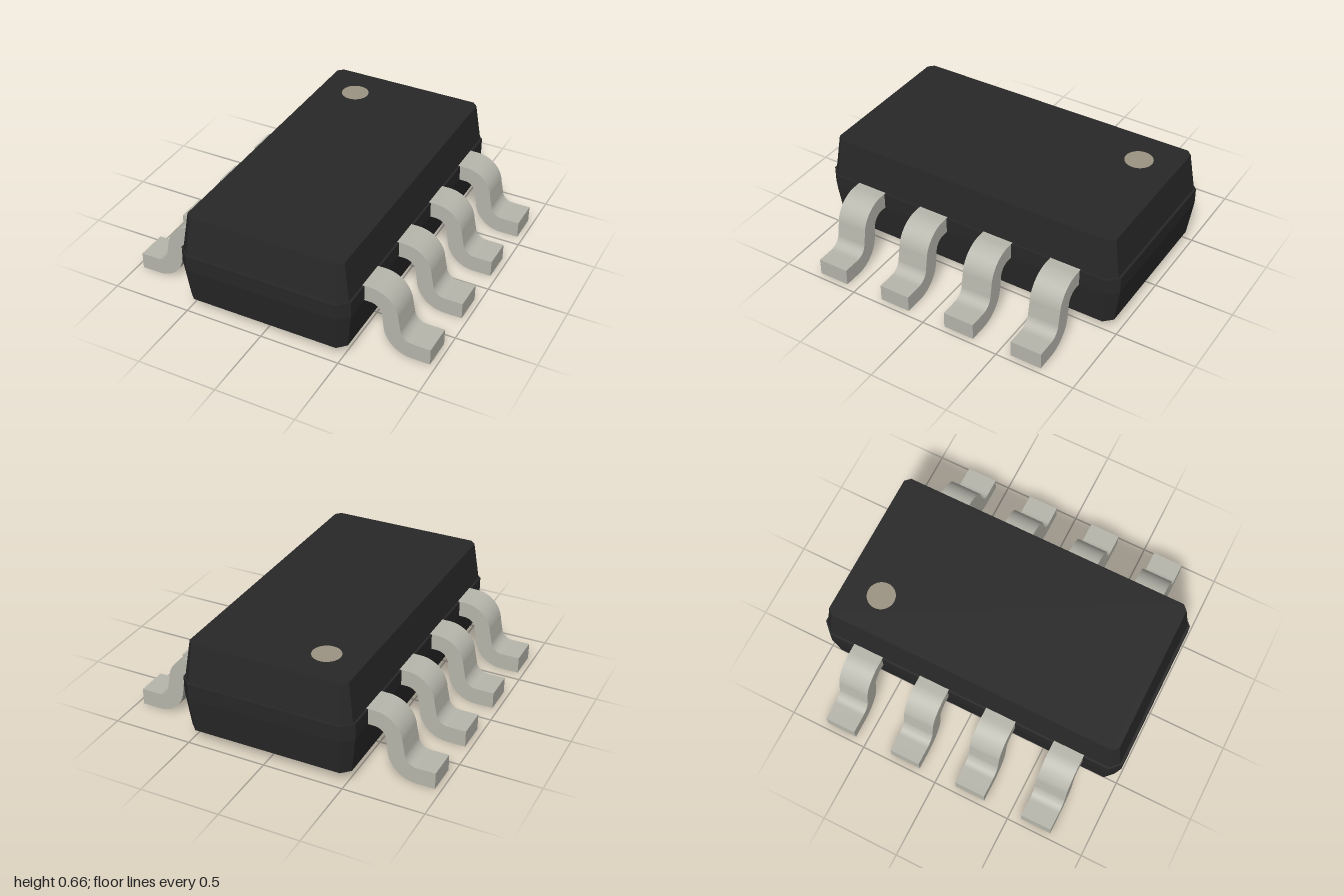
import * as THREE from 'three';
import { toCreasedNormals } from 'three/addons/utils/BufferGeometryUtils.js';

const material = (color) => new THREE.MeshStandardMaterial({ color });

// Rectangle with cut corners at height y, as eight points
function ring([y, hx, hz, cut]) {
  const a = hx - cut, b = hz - cut;
  return [[hx, b], [a, hz], [-a, hz], [-hx, b], [-hx, -b], [-a, -hz], [a, -hz], [hx, -b]]
    .map(([x, z]) => [x, y, z]);
}

// Flat-faced solid through a stack of rings, listed from bottom to top
function loft(rings) {
  const positions = [];
  const tri = (...points) => points.forEach((p) => positions.push(...p));
  const n = rings[0].length;
  for (let r = 0; r < rings.length - 1; r++) {
    const low = rings[r], high = rings[r + 1];
    for (let i = 0; i < n; i++) {
      const j = (i + 1) % n;
      tri(low[i], high[i], high[j]);
      tri(low[i], high[j], low[j]);
    }
  }
  const bottom = rings[0], top = rings[rings.length - 1];
  for (let i = 1; i < n - 1; i++) {
    tri(bottom[0], bottom[i], bottom[i + 1]);
    tri(top[0], top[i + 1], top[i]);
  }
  const geometry = new THREE.BufferGeometry();
  geometry.setAttribute('position', new THREE.Float32BufferAttribute(positions, 3));
  geometry.computeVertexNormals();
  return geometry;
}

// S-bent strip: shoulder, slightly sloping shin and flat foot
function leadGeometry(width) {
  const rad = THREE.MathUtils.degToRad;
  const shape = new THREE.Shape();
  shape.moveTo(0.535, 0.411);
  shape.lineTo(0.585, 0.411);
  shape.absarc(0.585, 0.235, 0.176, rad(90), rad(5), true);
  shape.absarc(0.85, 0.18, 0.075, rad(185), rad(270), false);
  shape.lineTo(0.963, 0.105);
  shape.lineTo(0.963, 0);
  shape.lineTo(0.85, 0);
  shape.absarc(0.85, 0.18, 0.18, rad(270), rad(185), true);
  shape.absarc(0.585, 0.235, 0.075, rad(5), rad(90), false);
  shape.lineTo(0.535, 0.31);
  shape.closePath();
  const geometry = new THREE.ExtrudeGeometry(shape, { depth: width, bevelEnabled: false, curveSegments: 12 });
  geometry.translate(0, 0, -width / 2);
  return toCreasedNormals(geometry, rad(35));
}

export function createModel() {
  const model = new THREE.Group();
  const add = (name, geometry, mat) => {
    const mesh = new THREE.Mesh(geometry, mat);
    mesh.name = name;
    model.add(mesh);
    return mesh;
  };

  // Moulded case: tapered lower half, straight band, small step, tapered upper half
  const sections = [
    [0.075, 0.52, 0.967, 0.05],
    [0.31, 0.548, 1, 0.065],
    [0.41, 0.548, 1, 0.065],
    [0.41, 0.535, 0.985, 0.05],
    [0.655, 0.5, 0.95, 0.032],
  ];
  add('case', loft(sections.map(ring)), material(0x282828));

  // Round marker on the top face
  const marker = add('cornerMarker', new THREE.CircleGeometry(0.087, 40), material(0x9c9483));
  marker.rotation.x = -Math.PI / 2;
  marker.position.set(-0.262, 0.657, -0.711);

  // Four leads along each long side
  const lead = leadGeometry(0.197);
  const metal = material(0xb8b7ad);
  for (const [side, turn] of [['left', 0], ['right', Math.PI]]) {
    [-0.674, -0.224, 0.224, 0.674].forEach((z, i) => {
      const mesh = add(`${side}Lead${i + 1}`, lead, metal);
      mesh.rotation.y = turn;
      mesh.position.z = z;
    });
  }
  return model;
}
